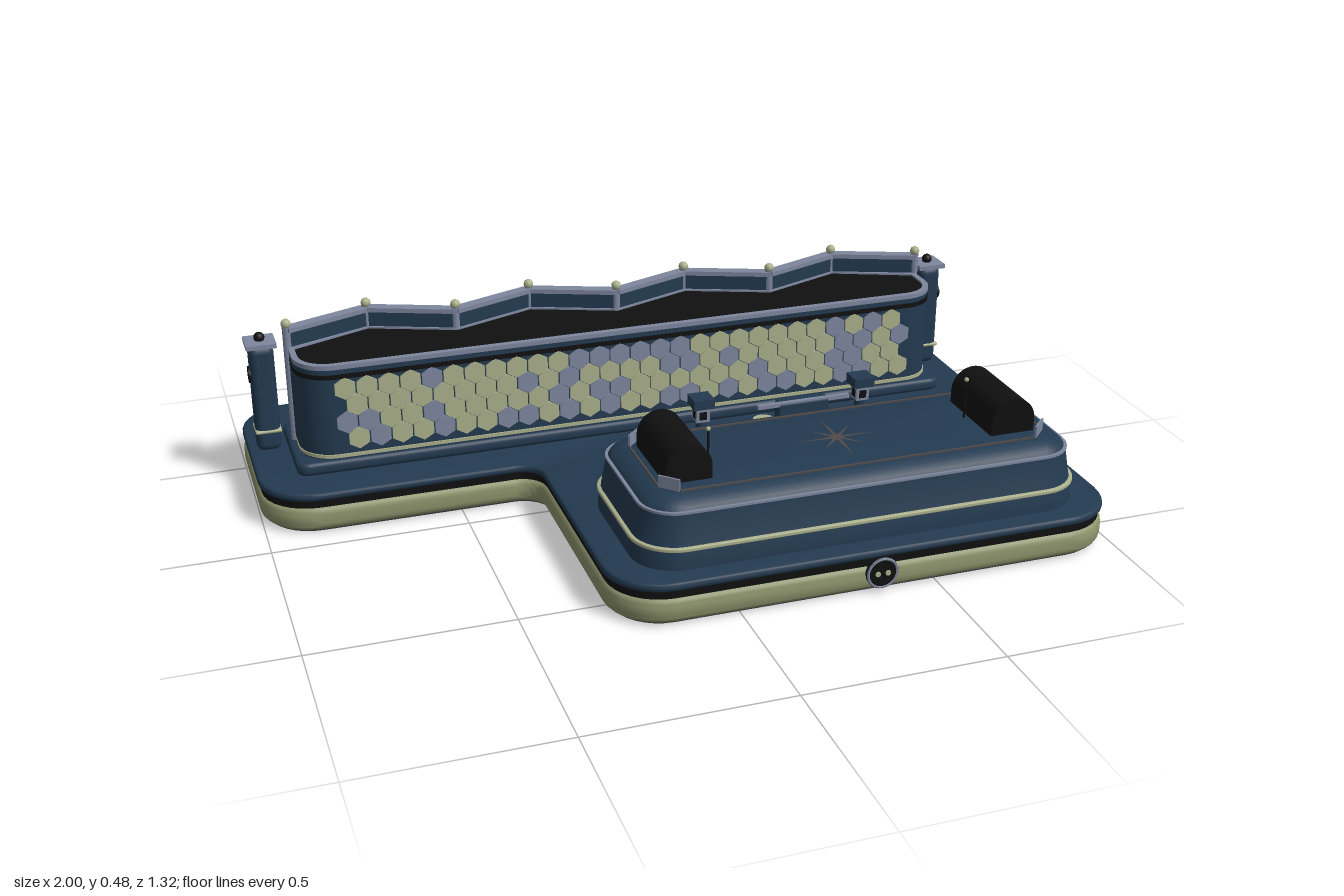
import * as THREE from 'three';
import { mergeGeometries, toCreasedNormals } from 'three/addons/utils/BufferGeometryUtils.js';
import { RoundedBoxGeometry } from 'three/addons/geometries/RoundedBoxGeometry.js';

const mat = (name, color, side = THREE.FrontSide) => {
  const m = new THREE.MeshStandardMaterial({ color, side });
  m.name = name;
  return m;
};

// Closed outline in (x, z) with rounded corners: [x, z, radius]
function roundPoly(corners) {
  const s = new THREE.Shape(), n = corners.length, k = 0.55;
  corners.forEach(([x, y, r], i) => {
    const c = new THREE.Vector2(x, y);
    const toward = (p) => c.clone().add(new THREE.Vector2(p[0] - x, p[1] - y).setLength(r));
    if (!r) { i ? s.lineTo(x, y) : s.moveTo(x, y); return; }
    const a = toward(corners[(i + n - 1) % n]), b = toward(corners[(i + 1) % n]);
    const ca = a.clone().lerp(c, k), cb = b.clone().lerp(c, k);
    i ? s.lineTo(a.x, a.y) : s.moveTo(a.x, a.y);
    s.bezierCurveTo(ca.x, ca.y, cb.x, cb.y, b.x, b.y);
  });
  return s;
}

const rect = (x0, z0, x1, z1, r, d = 0) => {
  const q = Math.max(r - d, 0.01);
  return roundPoly([[x0 + d, z0 + d, q], [x1 - d, z0 + d, q], [x1 - d, z1 - d, q], [x0 + d, z1 - d, q]]);
};

// L-shaped base outline, inset by d
const baseOutline = (d) => roundPoly([
  [-1 + d, -0.645 + d, 0.14 - d], [1 - d, -0.645 + d, 0.14 - d], [1 - d, 0.645 - d, 0.14 - d],
  [-0.3 + d, 0.645 - d, 0.14 - d], [-0.3 + d, -0.06 - d, 0.06 + d], [-1 + d, -0.06 - d, 0.14 - d]]);

// Zigzag screen corners, from +x to -x
const zig = Array.from({ length: 9 }, (_, i) => [0.88 - i * 0.22, i % 2 ? -0.42 : -0.335]);

// Planter outline, inset by d
const planterOutline = (d) => roundPoly([
  [-0.88 + d, -0.175 - d, 0.09 - d], [0.88 - d, -0.175 - d, 0.09 - d],
  ...zig.map(([x, z]) => [THREE.MathUtils.clamp(x, -0.88 + d, 0.88 - d), z + d, 0])]);

// Horizontal slab between two heights, with optional rounded edges
function slab(shape, y0, y1, bevel = 0) {
  const g = new THREE.ExtrudeGeometry(shape, {
    depth: y1 - y0 - 2 * bevel, bevelEnabled: bevel > 0, bevelThickness: bevel, bevelSize: bevel,
    bevelOffset: -bevel, bevelSegments: 5, curveSegments: 8 });
  g.rotateX(Math.PI / 2).translate(0, y1 - bevel, 0);
  return toCreasedNormals(g, 0.6);
}

// Skin through stacked rings, closed on top
function loft(ringAt, levels, center) {
  const pos = [], idx = [];
  const rings = levels.map(([y, d]) => ringAt(d).getPoints(8).map((p) => [p.x, y, p.y]));
  rings.push(rings.at(-1).map((p) => [center[0], p[1], center[1]]));
  const n = rings[0].length;
  rings.forEach((r, j) => r.forEach((p, i) => {
    pos.push(...p);
    if (j === rings.length - 1) return;
    const a = j * n + i, b = j * n + (i + 1) % n;
    idx.push(a, a + n, b, b, a + n, b + n);
  }));
  const g = new THREE.BufferGeometry();
  g.setAttribute('position', new THREE.Float32BufferAttribute(pos, 3));
  g.setIndex(idx);
  return toCreasedNormals(g, 0.4);
}

export function createModel() {
  const model = new THREE.Group();
  const navy = mat('navy', 0x233a50), black = mat('black', 0x101010), sage = mat('sage', 0x8f966e),
    cream = mat('cream', 0xabb08c, THREE.DoubleSide), lilac = mat('greyLilac', 0x7e879f, THREE.DoubleSide),
    charcoal = mat('charcoal', 0x36363a), bronze = mat('bronze', 0x514a4a);
  const add = (name, geo, material, x = 0, y = 0, z = 0, parent = model) => {
    const m = new THREE.Mesh(geo, material);
    m.name = name;
    m.position.set(x, y, z);
    parent.add(m);
    return m;
  };
  const box = (w, h, d) => new THREE.BoxGeometry(w, h, d);
  const cyl = (r, h, n = 20) => new THREE.CylinderGeometry(r, r, h, n);
  const disc = (r, h, n = 28) => cyl(r, h, n).rotateX(Math.PI / 2);

  // Layered base
  add('baseUnderside', slab(baseOutline(0.02), 0, 0.01), charcoal);
  add('baseSkirt', slab(baseOutline(0), 0.004, 0.075, 0.024), sage);
  add('baseBlackBand', slab(baseOutline(0.008), 0.07, 0.092), black);
  add('baseDeck', slab(baseOutline(0), 0.09, 0.112, 0.009), navy);

  // Round badges on the front and back edges
  for (const [x, side] of [[0.35, 1], [0, -1]]) {
    const badge = new THREE.Group();
    badge.name = 'badge';
    badge.position.set(x, 0.055, side * 0.65);
    badge.rotation.y = side > 0 ? 0 : Math.PI;
    add('badgeFace', disc(0.04, 0.012), black, 0, 0, 0, badge);
    add('badgeRing', new THREE.TorusGeometry(0.037, 0.004, 6, 28), lilac, 0, 0, 0.004, badge);
    for (const s of [-1, 1]) add('badgeDot', disc(0.007, 0.004, 10), cream, s * 0.013, 0, 0.007, badge);
    model.add(badge);
  }

  // Planter body with stripes, rim and dark filling
  add('planterPlinth', slab(rect(-0.9, -0.455, 0.9, -0.165, 0.03), 0.11, 0.145, 0.012), navy);
  add('planterBody', slab(planterOutline(0), 0.12, 0.398), navy);
  add('planterLowerStripe', slab(planterOutline(-0.004), 0.15, 0.159), cream);
  add('planterUpperStripe', slab(planterOutline(-0.003), 0.367, 0.379), black);
  add('planterFilling', slab(planterOutline(0.012), 0.39, 0.4), black);
  const rim = planterOutline(-0.003);
  rim.holes.push(planterOutline(0.014));
  add('planterRim', slab(rim, 0.393, 0.405), lilac);

  // Hexagonal tiles on the planter front
  let seed = 7;
  const random = () => (seed = (seed * 16807) % 2147483647) / 2147483647;
  const tiles = [[], []];
  for (let row = 0; row < 4; row++) for (let i = 0; i < 28; i++) {
    const x = -0.765 + i * 0.0557 + (row % 2 ? 0 : 0.0278);
    if (x > 0.78) continue;
    tiles[random() < 0.66 ? 0 : 1].push(disc(0.03, 0.006, 6).translate(x, 0.2 + row * 0.0465, -0.173));
  }
  add('creamTiles', mergeGeometries(tiles[0]), cream);
  add('lilacTiles', mergeGeometries(tiles[1]), lilac);

  // Folding screen with painted hills on its back
  const hill = (base, a, w, p) => (t) => base + a * Math.sin(t * w + p) + a * 0.35 * Math.sin(t * w * 2.3 + p);
  const farHill = hill(0.3, 0.04, 1.7, 0.4), nearHill = hill(0.225, 0.035, 2.1, 1.2);
  zig.slice(0, 8).forEach(([xa, za], i) => {
    const [xb, zb] = zig[i + 1], len = Math.hypot(xb - xa, zb - za);
    const panel = new THREE.Group();
    panel.name = 'screenPanel';
    panel.position.set((xa + xb) / 2, 0, (za + zb) / 2);
    panel.rotation.y = Math.atan2(zb - za, xa - xb) + Math.PI;
    add('panelBoard', box(len, 0.31, 0.016), navy, 0, 0.297, 0, panel);
    add('panelTopRail', box(len, 0.012, 0.03), lilac, 0, 0.452, 0, panel);
    add('panelBottomRail', box(len, 0.014, 0.026), lilac, 0, 0.152, 0, panel);
    [[farHill, lilac, 0.0095], [nearHill, cream, 0.0115]].forEach(([h, m, z]) => {
      const s = new THREE.Shape().moveTo(len / 2, 0.15).lineTo(-len / 2, 0.15);
      for (let k = 0; k <= 10; k++) s.lineTo((k / 10 - 0.5) * len, h(i + k / 10));
      add('paintedHill', new THREE.ShapeGeometry(s), m, 0, 0, z, panel);
    });
    if (i === 1 || i === 6) add('paintedMoon', disc(0.04, 0.006), i === 1 ? lilac : black, 0, 0.36, 0.011, panel);
    if (i % 2 === 0) [[0, 0.36, 0.5], [0.03, 0.385, -0.4], [-0.03, 0.335, 0.1]].forEach(([x, y, a]) => {
      add('paintedBranch', box(0.075, 0.005, 0.004), black, x, y, 0.013, panel).rotation.z = a;
    });
    model.add(panel);
  });
  zig.forEach(([x, z]) => {
    add('screenPost', cyl(0.011, 0.32, 10), lilac, x, 0.3, z);
    add('screenBall', new THREE.SphereGeometry(0.013, 14, 10), cream, x, 0.468, z);
  });

  // Capped posts beside the screen
  for (const s of [-1, 1]) {
    const x = s * 0.945, z = -0.385;
    add('endPost', new RoundedBoxGeometry(0.064, 0.295, 0.064, 3, 0.02), navy, x, 0.255, z);
    add('endPostBand', new RoundedBoxGeometry(0.069, 0.01, 0.069, 2, 0.005), cream, x, 0.165, z);
    add('endPostCap', box(0.078, 0.012, 0.078), lilac, x, 0.406, z);
    add('endPostKnob', new THREE.SphereGeometry(0.014, 14, 10), black, x, 0.42, z);
    add('endPostDisc', disc(0.022, 0.006), black, x, 0.32, z - 0.033);
    add('endPostSideDisc', disc(0.022, 0.006).rotateY(Math.PI / 2), black, x + s * 0.033, 0.32, z);
  }

  // Raised tub with sloping sides
  const tub = (d) => rect(-0.225, 0.135, 0.925, 0.592, 0.11, d);
  add('tubBody', loft(tub, [[0.11, 0], [0.155, 0.002], [0.17, 0.008], [0.245, 0.022], [0.26, 0.032],
    [0.272, 0.05], [0.277, 0.07]], [0.35, 0.363]), navy);
  add('tubLowerStripe', slab(tub(-0.002), 0.159, 0.169, 0.003), cream);
  add('tubUpperStripe', slab(tub(0.019), 0.246, 0.252), lilac);

  // Low rail around the tub top with corner plates
  const railPoints = [[-0.15, 0.25], [-0.11, 0.21], [0.81, 0.21], [0.85, 0.25], [0.85, 0.475], [0.81, 0.515],
    [-0.11, 0.515], [-0.15, 0.475]];
  railPoints.forEach(([x, z], i) => {
    const [u, w] = railPoints[(i + 1) % 8], corner = i % 2 === 0;
    const bar = add(corner ? 'cornerPlate' : 'tubRail', box(Math.hypot(u - x, w - z), corner ? 0.035 : 0.004, 0.005),
      corner ? lilac : bronze, (x + u) / 2, corner ? 0.29 : 0.279, (z + w) / 2);
    bar.rotation.y = -Math.atan2(w - z, u - x);
  });

  // Domed headrests at both ends
  for (const [x, px, pz] of [[-0.073, -0.008, 0.42], [0.77, 0.7, 0.35]]) {
    add('headrestBase', box(0.116, 0.038, 0.22), black, x, 0.292, 0.362);
    const dome = new THREE.CylinderGeometry(0.058, 0.058, 0.22, 28, 1, false, 0, Math.PI);
    add('headrestDome', dome.rotateX(Math.PI / 2).rotateZ(Math.PI / 2), black, x, 0.31, 0.362);
    add('headrestPin', cyl(0.003, 0.1, 8), black, px, 0.327, pz);
    add('headrestPinKnob', new THREE.SphereGeometry(0.006, 10, 8), cream, px, 0.38, pz);
  }

  // Eight-pointed star inlay
  for (let i = 0; i < 8; i++) {
    const len = i % 2 ? 0.075 : 0.105, a = i * Math.PI / 4;
    const s = new THREE.Shape().moveTo(0, 0).lineTo(0.012, -0.005).lineTo(len, 0).lineTo(0.012, 0.005);
    add('starRay', new THREE.ShapeGeometry(s).rotateX(-Math.PI / 2).rotateY(a), bronze, 0.35, 0.279, 0.36);
  }

  // Control panel behind the tub
  add('controlPanel', new RoundedBoxGeometry(0.14, 0.175, 0.035, 2, 0.008), navy, 0.35, 0.2, 0.135);
  add('controlSpout', box(0.07, 0.02, 0.05), navy, 0.35, 0.26, 0.115);
  add('controlBar', box(0.25, 0.01, 0.012), lilac, 0.35, 0.283, 0.145);
  for (const s of [-1, 1]) add('controlFoot', box(0.035, 0.03, 0.025), black, 0.35 + s * 0.14, 0.122, 0.135);

  // Stepping stones
  for (const [x, z] of [[0.35, -0.12], [0.328, -0.065], [0.357, -0.01], [0.367, 0.048], [0.338, 0.09]])
    add('steppingStone', cyl(0.03, 0.006, 20), cream, x, 0.114, z);

  // Small lanterns
  for (const x of [0.125, 0.575]) {
    add('lanternFoot', cyl(0.022, 0.03), navy, x, 0.125, 0);
    add('lanternStem', cyl(0.014, 0.09), navy, x, 0.165, 0);
    add('lanternFrame', box(0.036, 0.04, 0.036), lilac, x, 0.22, 0);
    add('lanternPane', box(0.038, 0.022, 0.02), black, x, 0.218, 0);
    add('lanternPane', box(0.02, 0.022, 0.038), black, x, 0.218, 0);
    add('lanternRoof', box(0.056, 0.026, 0.056), navy, x, 0.253, 0);
  }
  return model;
}
